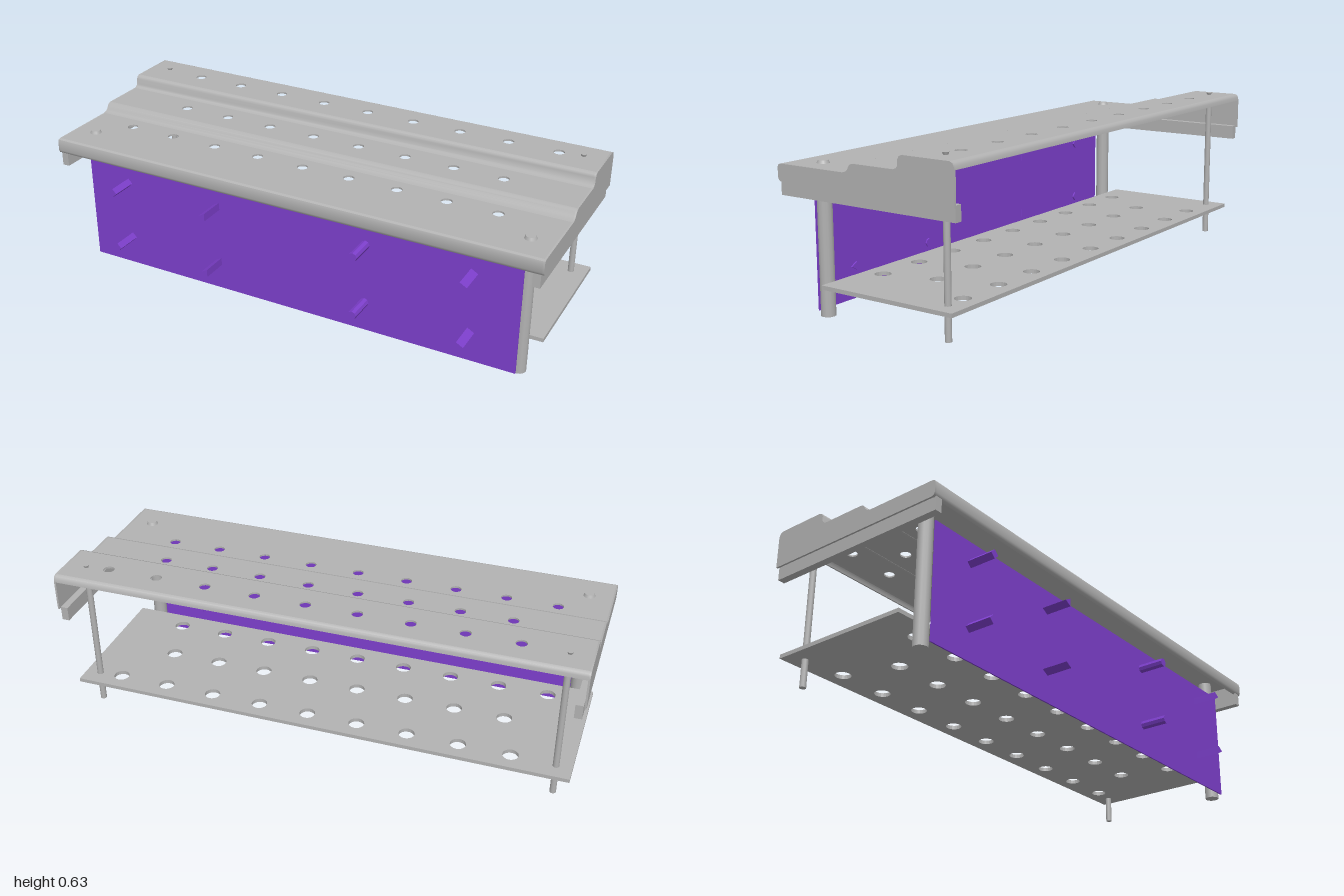
import * as THREE from 'three';
import { toCreasedNormals } from 'three/addons/utils/BufferGeometryUtils.js';

export function createModel() {
  const model = new THREE.Group();
  const grey = new THREE.MeshStandardMaterial({ color: 0xb2b2b2 });
  grey.name = 'light grey';
  const purple = new THREE.MeshStandardMaterial({ color: 0x7d3fcc });
  purple.name = 'purple';
  const T = 0.007; // sheet thickness
  const V = (x, y) => new THREE.Vector2(x, y);

  const add = (name, geometry, material, x = 0, y = 0, z = 0) => {
    const mesh = new THREE.Mesh(geometry, material);
    mesh.name = name;
    mesh.position.set(x, y, z);
    model.add(mesh);
    return mesh;
  };

  // Side outline (z, y) pulled along x, centred on x = 0
  const pullAlongX = (points, width) => {
    const g = new THREE.ExtrudeGeometry(new THREE.Shape(points), { depth: width, bevelEnabled: false });
    g.translate(0, 0, -width / 2);
    g.rotateY(-Math.PI / 2);
    return toCreasedNormals(g, 0.7);
  };

  // Flat horizontal plate with a row, or rows, of round holes
  const perforated = (halfWidth, zMin, zMax, thickness, holes, radius) => {
    const shape = new THREE.Shape([V(-halfWidth, zMin), V(halfWidth, zMin), V(halfWidth, zMax), V(-halfWidth, zMax)]);
    for (const [x, z] of holes) {
      shape.holes.push(new THREE.Path().absarc(x, z, radius, 0, Math.PI * 2, true));
    }
    const g = new THREE.ExtrudeGeometry(shape, { depth: thickness, bevelEnabled: false, curveSegments: 10 });
    g.rotateX(Math.PI / 2);
    return g;
  };

  // Bent sheet: a polyline thickened towards its underside
  const bentSheet = (line, width) => {
    const inner = line.map((p, i) => {
      const a = line[Math.max(i - 1, 0)], b = line[Math.min(i + 1, line.length - 1)];
      const d = b.clone().sub(a).normalize();
      return V(p.x + d.y * T, p.y + d.x * T * 1);
    });
    // offset is perpendicular to travel, which runs front to back
    inner.forEach((p, i) => {
      const a = line[Math.max(i - 1, 0)], b = line[Math.min(i + 1, line.length - 1)];
      const d = b.clone().sub(a).normalize();
      p.set(line[i].x - d.y * T, line[i].y + d.x * T);
    });
    return pullAlongX([...line, ...inner.reverse()], width);
  };

  // Hole rows shared by the cover and the shelf
  const row = (start, step, count, z) => Array.from({ length: count }, (_, i) => [start + i * step, z]);
  const rows = [
    row(-0.81, 0.195, 9, 0.13),
    row(-0.68, 0.196, 8, -0.07),
    row(-0.747, 0.1965, 9, -0.28),
  ];

  // Stepped cover: three treads joined by rounded bends
  const frontLip = [V(0.352, 0.473), V(0.361, 0.478), V(0.365, 0.488), V(0.365, 0.522), V(0.362, 0.531), V(0.352, 0.535)];
  const lowerStep = [V(0.07, 0.535), V(0.056, 0.539), V(0.048, 0.546), V(0.041, 0.559), V(0.034, 0.565), V(0.024, 0.568)];
  const upperStep = [V(-0.145, 0.568), V(-0.157, 0.572), V(-0.164, 0.58), V(-0.166, 0.602), V(-0.171, 0.612), V(-0.182, 0.617)];
  const backLip = [V(-0.372, 0.617), V(-0.383, 0.612), V(-0.388, 0.603), V(-0.39, 0.59)];
  const coverWidth = 1.988;
  add('coverFrontLip', bentSheet(frontLip, coverWidth), grey);
  add('coverLowerStep', bentSheet(lowerStep, coverWidth), grey);
  add('coverUpperStep', bentSheet(upperStep, coverWidth), grey);
  add('coverBackLip', bentSheet(backLip, coverWidth), grey);
  add('lowerTread', perforated(coverWidth / 2, 0.07, 0.352, T, rows[0], 0.021), grey, 0, 0.535);
  add('middleTread', perforated(coverWidth / 2, -0.145, 0.024, T, rows[1], 0.021), grey, 0, 0.568);
  add('upperTread', perforated(coverWidth / 2, -0.372, -0.182, T, rows[2], 0.021), grey, 0, 0.617);

  // Shelf under the cover
  add('shelf', perforated(0.975, -0.352, 0.205, 0.015, rows.flat(), 0.03), grey, 0, 0.129);

  const endOutline = [...frontLip, ...lowerStep, ...upperStep, ...backLip, V(-0.39, 0.473)];
  for (const side of [-1, 1]) {
    const name = side > 0 ? 'left' : 'right';
    // Cover end wall and the rail below it
    add(name + 'EndWall', pullAlongX(endOutline, T), grey, side * (1 - T / 2));
    add(name + 'Rail', new THREE.BoxGeometry(0.028, 0.055, 0.746), grey, side * 0.976, 0.4525, -0.012);
    // Thick front post with its cap
    add(name + 'FrontPost', new THREE.CylinderGeometry(0.027, 0.027, 0.53, 12), grey, side * 0.908, 0.265, 0.243);
    add(name + 'FrontCap', new THREE.CylinderGeometry(0.018, 0.023, 0.012, 16), grey, side * 0.908, 0.54, 0.243);
    // Thin back rod with its cap
    add(name + 'BackRod', new THREE.CylinderGeometry(0.012, 0.012, 0.605, 12), grey, side * 0.915, 0.311, -0.29);
    add(name + 'BackCap', new THREE.CylinderGeometry(0.012, 0.008, 0.01, 12), grey, side * 0.915, 0.621, -0.29);
  }

  // Front panel
  add('frontPanel', new THREE.BoxGeometry(1.82, 0.445, 0.005), purple, 0, 0.2325, 0.286);

  // Pegs through the panel: [x, sides, radius, turn]
  const pegs = [
    [-0.73, 4, 0.018, 0],
    [-0.315, 3, 0.018, Math.PI],
    [0.315, 8, 0.017, 0],
    [0.73, 3, 0.018, 0],
  ];
  for (const [x, sides, radius, turn] of pegs) {
    for (const y of [0.13, 0.373]) {
      const g = new THREE.CylinderGeometry(radius, radius, 0.114, sides);
      g.rotateY(Math.PI / 2 + turn);
      g.rotateX(Math.PI / 2);
      add('peg', toCreasedNormals(g, 0.5), purple, x, y, 0.335);
    }
  }

  return model;
}
